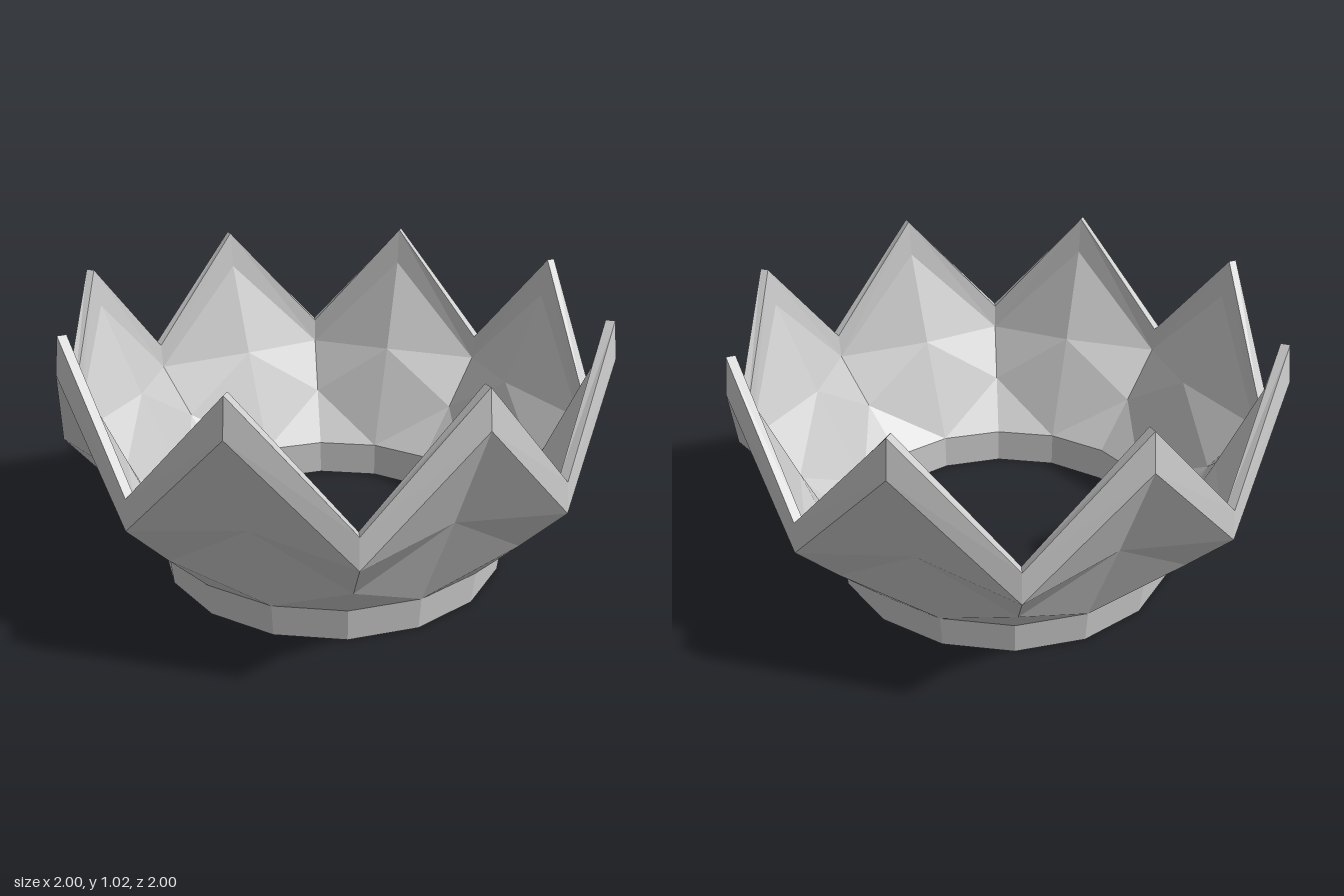
import * as THREE from 'three';

const SIDES = 16; // even columns run through the peaks, odd ones through the valleys

// Skins two alternating [radius, height] profiles around the y axis.
// From profile row `flip` on, the quads are split along the other diagonal.
function ringGeometry(peak, valley, flip = peak.length) {
  const pos = [];
  const point = (c, j) => {
    const [r, y] = (c % 2 ? valley : peak)[j];
    const a = (c / SIDES) * Math.PI * 2;
    return [r * Math.sin(a), y, r * Math.cos(a)];
  };
  for (let c = 0; c < SIDES; c++) {
    for (let j = 0; j < peak.length - 1; j++) {
      const a = point(c, j), b = point(c + 1, j);
      const d = point(c, j + 1), e = point(c + 1, j + 1);
      const rising = (c % 2 === 0) === (j < flip);
      if (rising) pos.push(...a, ...b, ...e, ...a, ...e, ...d);
      else pos.push(...a, ...b, ...d, ...b, ...e, ...d);
    }
  }
  const g = new THREE.BufferGeometry();
  g.setAttribute('position', new THREE.Float32BufferAttribute(pos, 3));
  g.computeVertexNormals();
  return g;
}

export function createModel() {
  const crown = new THREE.Group();
  crown.name = 'crown';
  const material = new THREE.MeshStandardMaterial({ color: 0xcccccc, flatShading: true });
  const add = (name, geometry) => {
    const mesh = new THREE.Mesh(geometry, material);
    mesh.name = name;
    crown.add(mesh);
  };

  // base band: inner wall down, underside, outer wall up
  const band = [[0.615, 0.14], [0.612, 0], [0.655, 0], [0.667, 0.125]];
  add('baseBand', ringGeometry(band, band));

  // outer faces of the eight points
  const outerPeak = [[0.667, 0.125], [0.84, 0.51], [1.0, 0.89]];
  const outerValley = [[0.667, 0.125], [0.83, 0.3], [0.995, 0.485]];
  add('outerPoints', ringGeometry(outerPeak, outerValley));

  // bevelled zigzag rim
  const rimPeak = [[1.0, 0.89], [0.983, 1.02], [0.952, 1.02], [0.935, 0.88]];
  const rimValley = [[0.995, 0.485], [0.985, 0.595], [0.952, 0.595], [0.945, 0.5]];
  add('rim', ringGeometry(rimPeak, rimValley));

  // inner faces of the eight points
  const innerPeak = [[0.935, 0.88], [0.79, 0.53], [0.615, 0.14]];
  const innerValley = [[0.945, 0.5], [0.785, 0.32], [0.615, 0.14]];
  add('innerPoints', ringGeometry(innerPeak, innerValley, 0));

  return crown;
}
